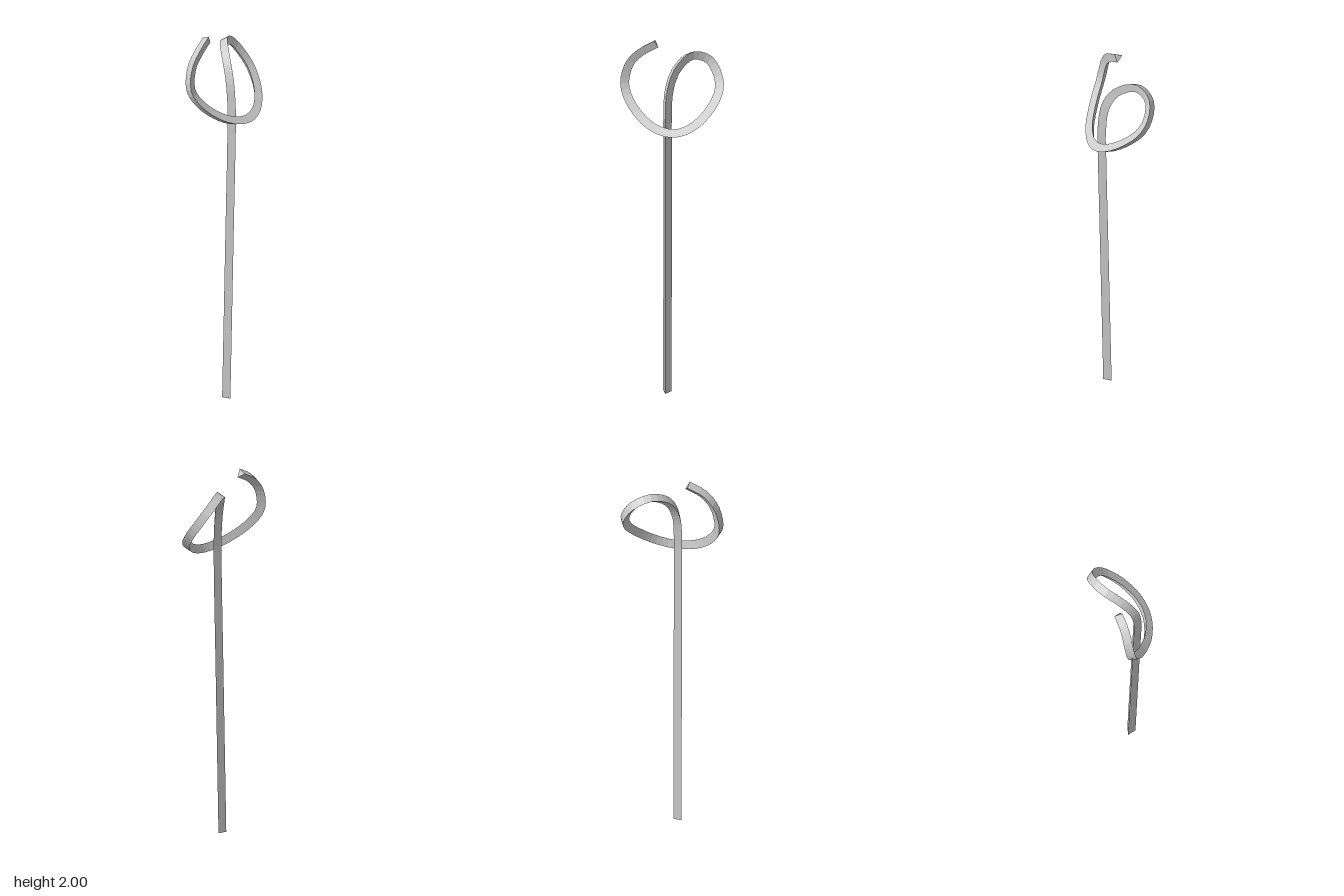
import * as THREE from 'three';

export function createModel() {
  const group = new THREE.Group();
  group.name = 'curledRod';

  // Centre line: a slightly leaning stem that turns into an open loop
  const path = new THREE.CatmullRomCurve3([
    [-0.023, 0, 0.018], [-0.022, 0.5, 0.029], [-0.021, 1, 0.04], [-0.02, 1.4, 0.049],
    [-0.02, 1.6, 0.051], [-0.013, 1.75, 0.033], [0.022, 1.85, -0.018], [0.1, 1.9, -0.093],
    [0.185, 1.865, -0.12], [0.235, 1.79, -0.091], [0.245, 1.72, -0.042], [0.19, 1.63, 0.045],
    [0.1, 1.565, 0.104], [0.01, 1.543, 0.116], [-0.1, 1.567, 0.084], [-0.2, 1.645, 0.013],
    [-0.245, 1.74, -0.042], [-0.222, 1.86, -0.056], [-0.165, 1.93, -0.055], [-0.084, 1.977, -0.064],
  ].map((p) => new THREE.Vector3(...p)), false, 'centripetal');

  // Triangular section carried along the centre line, capped at both ends
  const radius = 0.0265;
  const corners = [0, 1, 2].map((i) => {
    const a = THREE.MathUtils.degToRad(76 + i * 120);
    return new THREE.Vector2(Math.cos(a) * radius, Math.sin(a) * radius);
  });
  const geometry = new THREE.ExtrudeGeometry(new THREE.Shape(corners), {
    steps: 100, bevelEnabled: false, extrudePath: path,
  });

  const rod = new THREE.Mesh(geometry, new THREE.MeshStandardMaterial({ color: 0xcccccc, flatShading: true }));
  rod.name = 'stemAndLoop';
  group.add(rod);
  return group;
}
